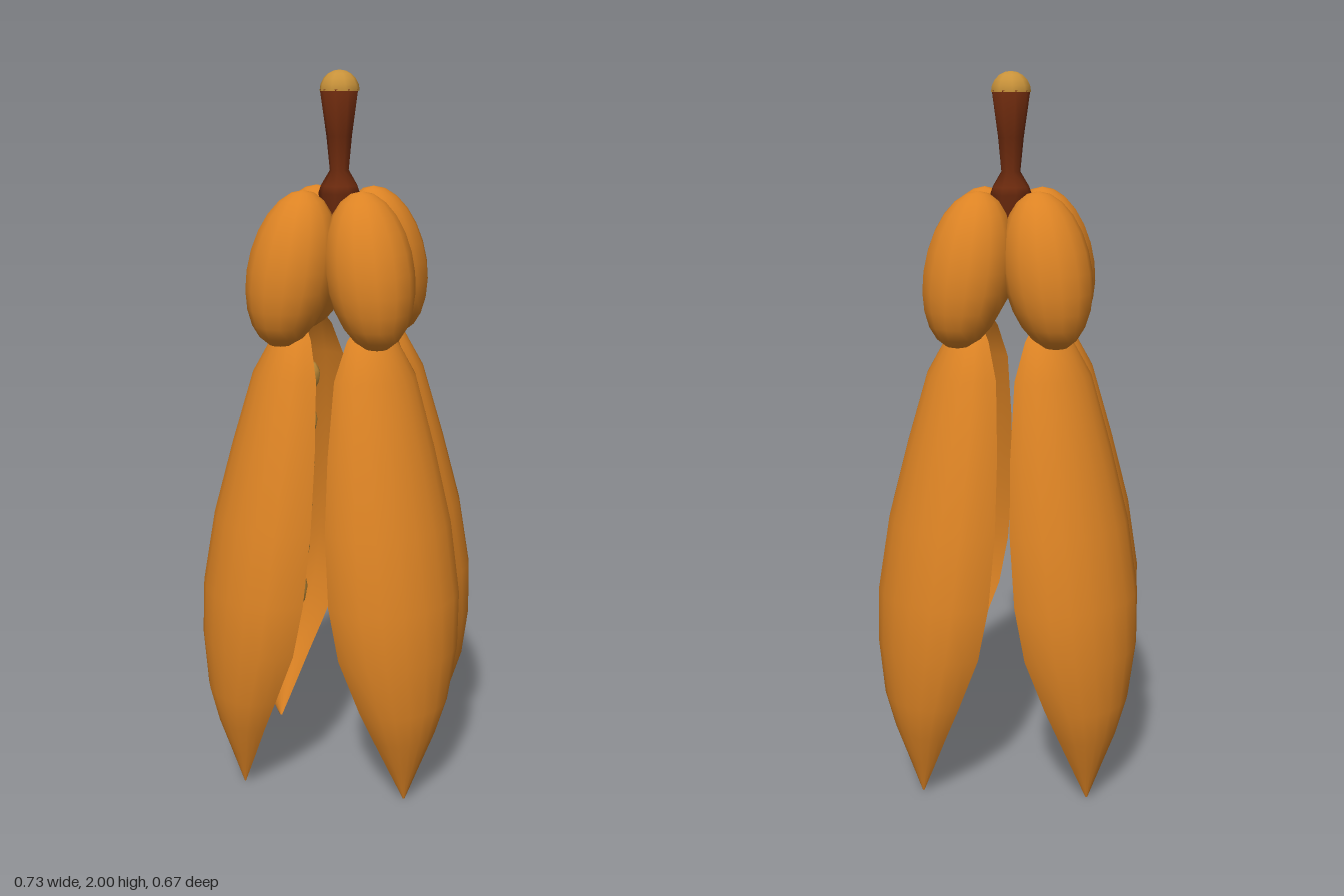
import * as THREE from 'three';

const paint = (name, color, side = THREE.FrontSide) => {
  const m = new THREE.MeshStandardMaterial({ color, side });
  m.name = name;
  return m;
};

// Petal stations from neck to tip: height, rim distance from axis, half width
const STATIONS = [
  [1.36, 0.115, 0.02], [1.3, 0.125, 0.075], [1.2, 0.14, 0.125], [1.0, 0.17, 0.165],
  [0.8, 0.203, 0.195], [0.6, 0.234, 0.204], [0.45, 0.257, 0.187], [0.3, 0.288, 0.14],
  [0.2, 0.3, 0.097], [0.1, 0.305, 0.05], [0.0, 0.311, 0.003],
];

// Cupped petal shell, bulging along +x
function petalGeometry() {
  const n = 10, pos = [], index = [];
  STATIONS.forEach(([y, r, w], i) => {
    for (let j = 0; j <= n; j++) {
      const u = (j / n - 0.5) * Math.PI;
      pos.push(r + 0.8 * w * Math.cos(u), y, w * Math.sin(u));
      if (i < STATIONS.length - 1 && j < n) {
        const a = i * (n + 1) + j, b = a + n + 1;
        index.push(a, a + 1, b, a + 1, b + 1, b);
      }
    }
  });
  const g = new THREE.BufferGeometry();
  g.setAttribute('position', new THREE.Float32BufferAttribute(pos, 3));
  g.setIndex(index);
  g.computeVertexNormals();
  return g;
}

// Rounded bulb that leans in toward the stem at its top
function bulbGeometry() {
  const g = new THREE.SphereGeometry(1, 14, 12);
  g.scale(0.12, 0.207, 0.12);
  const p = g.attributes.position;
  for (let i = 0; i < p.count; i++) p.setX(i, p.getX(i) + 0.15 - 0.18 * p.getY(i));
  g.translate(0, 1.487, 0);
  g.computeVertexNormals();
  return g;
}

export function createModel() {
  const model = new THREE.Group();
  model.name = 'hangingFlower';
  const orange = paint('petalOrange', 0xdc8324);
  const shellOrange = paint('petalShellOrange', 0xdc8324, THREE.DoubleSide);
  const brown = paint('stemBrown', 0x6a290d);
  const tan = paint('seedTan', 0xc8923a);

  const add = (parent, name, geometry, material) => {
    const mesh = new THREE.Mesh(geometry, material);
    mesh.name = name;
    parent.add(mesh);
    return mesh;
  };

  const petalGeo = petalGeometry();
  const bulbGeo = bulbGeometry();
  const seedGeo = new THREE.SphereGeometry(1, 10, 8);

  // Four lobes on the diagonals, each a bulb, a petal and its column of seeds
  for (let k = 0; k < 4; k++) {
    const angle = Math.PI / 4 + k * Math.PI / 2;
    const lobe = new THREE.Group();
    lobe.name = 'lobe' + (k + 1);
    lobe.rotation.y = angle;
    add(lobe, 'bulb', bulbGeo, orange);
    model.add(lobe);

    const cup = new THREE.Group();
    cup.name = 'petalWithSeeds' + (k + 1);
    cup.rotation.y = angle;
    cup.position.set(0.014 * Math.sign(Math.cos(angle)), 0, 0.014 * Math.sign(Math.sin(angle)));
    add(cup, 'petal', petalGeo, shellOrange);
    for (let s = 0; s < 6; s++) {
      const t = s / 5;
      const seed = add(cup, 'seed', seedGeo, tan);
      const size = 0.07 - 0.025 * t;
      seed.position.set(0.275 - 0.125 * t, 0.45 + 0.7 * t, 0);
      seed.scale.set(size, size * 1.1, size);
    }
    model.add(cup);
  }

  // Flared stem with a domed tip
  const stemProfile = [[0.04, 1.58], [0.057, 1.68], [0.05, 1.7], [0.026, 1.74], [0.035, 1.83], [0.052, 1.95], [0, 1.95]];
  const stem = add(model, 'stem',
    new THREE.LatheGeometry(stemProfile.map(([r, y]) => new THREE.Vector2(r, y)), 9), brown);
  stem.position.z = -0.007;
  const tip = add(model, 'stemTip',
    new THREE.SphereGeometry(0.054, 9, 5, 0, Math.PI * 2, 0, Math.PI / 2), tan);
  tip.position.set(0, 1.946, -0.007);

  return model;
}
